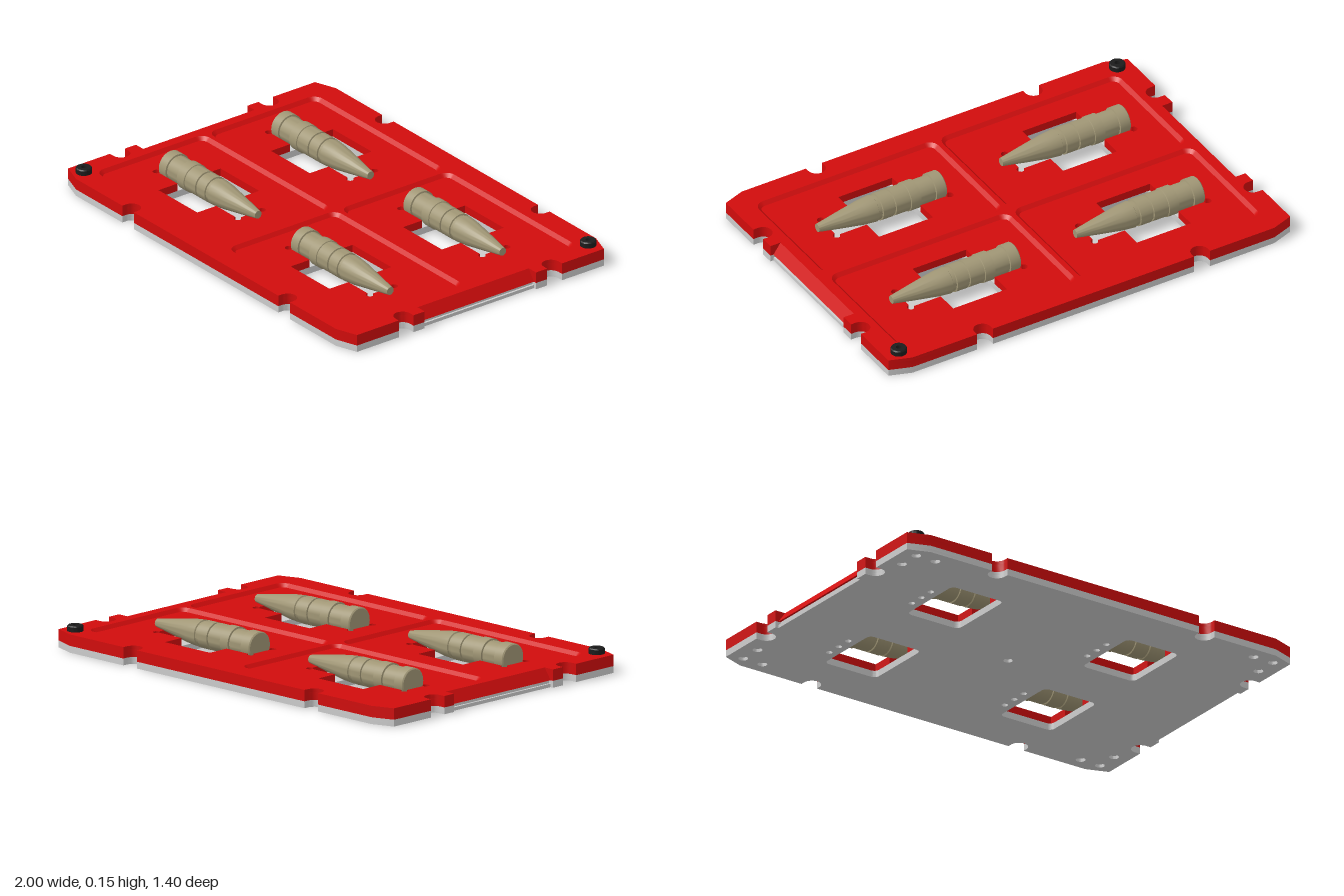
import * as THREE from 'three';
import { toCreasedNormals } from 'three/addons/utils/BufferGeometryUtils.js';

const mat = (color, side = THREE.FrontSide) => new THREE.MeshStandardMaterial({ color, side });
const V = (x, y) => new THREE.Vector2(x, y);

// Points along an arc, angles in degrees
function arc(cx, cy, r, from, to, n = 12) {
  return Array.from({ length: n + 1 }, (_, i) => {
    const a = THREE.MathUtils.degToRad(from + (to - from) * i / n);
    return V(cx + r * Math.cos(a), cy + r * Math.sin(a));
  });
}

const circle = (x, y, r) => arc(x, y, r, 0, 345, 23);

function roundedRect(cx, cy, hw, hh, r) {
  return [
    ...arc(cx + hw - r, cy + hh - r, r, 0, 90, 6),
    ...arc(cx - hw + r, cy + hh - r, r, 90, 180, 6),
    ...arc(cx - hw + r, cy - hh + r, r, 180, 270, 6),
    ...arc(cx + hw - r, cy - hh + r, r, 270, 360, 6),
  ];
}

// Board outline with clipped corners, round notches and recessed ends
function outline(recess) {
  const q = [
    V(recess, 0.3), V(1, 0.3), V(1, 0.36), ...arc(0.975, 0.4, 0.04, -90, -270), V(1, 0.44),
    V(1, 0.665), V(0.9, 0.7), V(0.58, 0.7), ...arc(0.54, 0.68, 0.04, 0, -180), V(0.5, 0.7),
  ];
  const flip = (sx, sy) => q.map((p) => V(p.x * sx, p.y * sy));
  return [...q, ...flip(-1, 1).reverse(), ...flip(-1, -1), ...flip(1, -1).reverse()];
}

// Horizontal slab between two heights
function slab(name, points, holes, y0, y1, material) {
  const shape = new THREE.Shape(points);
  shape.holes = holes.map((h) => new THREE.Path(h));
  const geo = new THREE.ExtrudeGeometry(shape, { depth: y1 - y0, bevelEnabled: false });
  geo.rotateX(-Math.PI / 2).translate(0, y0, 0);
  const mesh = new THREE.Mesh(toCreasedNormals(geo, 0.6), material);
  mesh.name = name;
  return mesh;
}

// Slot with relieved corners, crossed by the window
function cradleHole(cx, cy) {
  const half = [
    ...arc(0.25, 0.065, 0.017, -90, 180), V(0.101, 0.065), V(0.101, 0.167),
    V(-0.167, 0.167), V(-0.167, 0.065), ...arc(-0.312, 0.065, 0.017, 0, 270),
  ];
  const lower = half.map((p) => V(p.x, -p.y)).reverse();
  return [...half, ...lower].map((p) => V(p.x + cx, p.y + cy));
}

// Sloping wall between two matching loops
function slopedWall(top, bottom, yTop, yBottom) {
  const n = top.length, pos = [], idx = [];
  for (let i = 0; i < n; i++) {
    pos.push(top[i].x, yTop, -top[i].y, bottom[i].x, yBottom, -bottom[i].y);
    const a = 2 * i, b = 2 * ((i + 1) % n);
    idx.push(a, b, a + 1, b, b + 1, a + 1);
  }
  const geo = new THREE.BufferGeometry();
  geo.setAttribute('position', new THREE.Float32BufferAttribute(pos, 3));
  geo.setIndex(idx);
  geo.computeVertexNormals();
  return geo;
}

export function createModel() {
  const model = new THREE.Group();
  model.name = 'cartridgeBoard';
  const red = mat(0xd00c0c), redThin = mat(0xd00c0c, THREE.DoubleSide);
  const grey = mat(0xcccccc), tan = mat(0xa09675), black = mat(0x1c1c1c);
  const cells = [-1, 1].flatMap((sx) => [-1, 1].map((sy) => V(sx * 0.4575, sy * 0.303)));
  const corners = [[1, 1], [-1, 1], [-1, -1], [1, -1]];
  const knobs = [[1, 1], [-1, -1]];

  // Base plate: the lower layer carries the blind holes
  const windows = cells.map((c) => roundedRect(c.x - 0.033, c.y, 0.134, 0.167, 0.025));
  const knobHoles = knobs.map(([sx, sy]) => circle(sx * 0.93, sy * 0.635, 0.012));
  const blind = [circle(0, 0, 0.02)];
  for (const [sx, sy] of corners) {
    for (const [x, y] of [[0.93, 0.635], [0.93, 0.53], [0.83, 0.635]]) {
      blind.push(circle(sx * x, sy * y, 0.021));
    }
  }
  for (const c of cells) {
    for (const d of [-0.07, 0, 0.07]) blind.push(circle(c.x - 0.21, c.y + d, 0.014));
  }
  model.add(slab('basePlateLower', outline(0.985), [...windows, ...blind], 0, 0.015, grey));
  model.add(slab('basePlateUpper', outline(0.975), [...windows, ...knobHoles], 0.015, 0.03, grey));

  // Red tray: pocket floor with cradles, then the raised rim
  const cradles = cells.map((c) => cradleHole(c.x, c.y));
  const pockets = cells.map((c) => roundedRect(c.x, c.y, 0.446, 0.292, 0.045));
  model.add(slab('trayFloor', outline(0.95), [...cradles, ...knobHoles], 0.03, 0.065, red));
  model.add(slab('trayRim', outline(0.95), [...pockets, ...knobHoles], 0.065, 0.08, red));
  cells.forEach((c, i) => {
    const foot = roundedRect(c.x, c.y, 0.43, 0.276, 0.029);
    const wall = new THREE.Mesh(slopedWall(pockets[i], foot, 0.08, 0.065), redThin);
    wall.name = 'pocketWall';
    model.add(wall);
  });

  // Sloped grips in the recessed ends
  for (const s of [0, Math.PI]) {
    const section = new THREE.Shape([V(0.945, 0.03), V(0.985, 0.03), V(0.95, 0.08), V(0.945, 0.08)]);
    const geo = new THREE.ExtrudeGeometry(section, { depth: 0.6, bevelEnabled: false });
    const grip = new THREE.Mesh(geo.translate(0, 0, -0.3), red);
    grip.rotation.y = s;
    grip.name = 'endGrip';
    model.add(grip);
  }

  // Cartridges lying in the cradles, tips towards +x
  const profile = [
    [0, -0.302], [0.06, -0.302], [0.065, -0.297], [0.065, -0.25], [0.058, -0.248],
    [0.058, -0.175], [0.065, -0.173], [0.065, -0.125], [0.061, -0.123], [0.061, -0.052],
    [0.055, -0.05], [0.055, -0.044], [0.061, -0.042], [0.061, 0.013], [0.055, 0.015],
    [0.055, 0.031], [0.06, 0.034], [0.055, 0.09], [0.037, 0.2], [0.018, 0.308], [0, 0.308],
  ].map(([r, x]) => V(r, x));
  const cartridgeGeo = toCreasedNormals(new THREE.LatheGeometry(profile, 40), 0.5);
  cartridgeGeo.rotateZ(-Math.PI / 2);
  for (const c of cells) {
    const cartridge = new THREE.Mesh(cartridgeGeo, tan);
    cartridge.position.set(c.x, 0.085, -c.y);
    cartridge.name = 'cartridge';
    model.add(cartridge);
  }

  // Hollow locating knobs on two opposite corners
  const ring = [
    [0.012, 0.075], [0.035, 0.075], [0.035, 0.101], [0.031, 0.106], [0.012, 0.106], [0.012, 0.075],
  ].map(([r, y]) => V(r, y));
  const knobGeo = toCreasedNormals(new THREE.LatheGeometry(ring, 28), 0.5);
  for (const [sx, sy] of knobs) {
    const knob = new THREE.Mesh(knobGeo, black);
    knob.position.set(sx * 0.93, 0, -sy * 0.635);
    knob.name = 'locatingKnob';
    model.add(knob);
  }
  return model;
}
